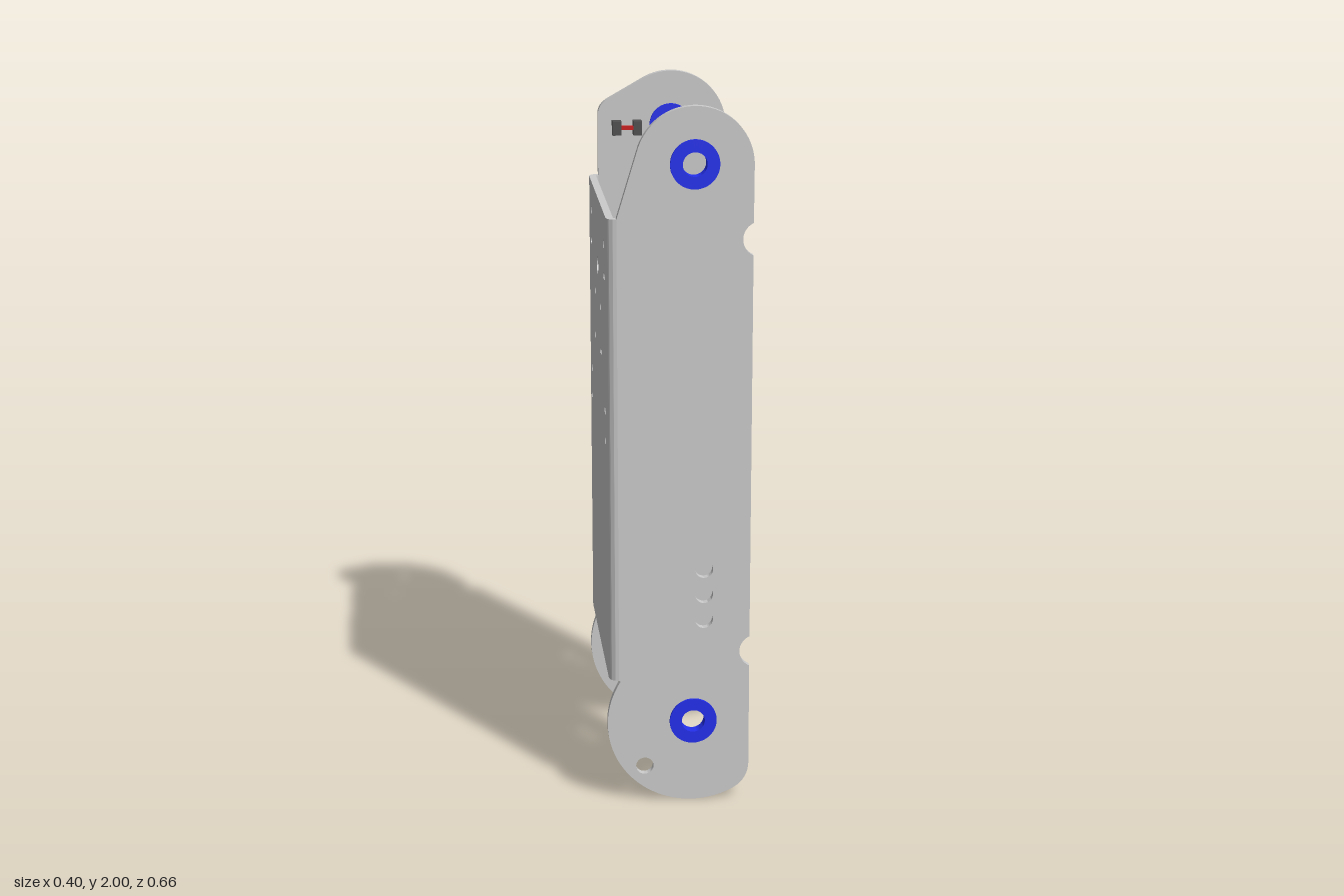
import * as THREE from 'three';
import { toCreasedNormals } from 'three/addons/utils/BufferGeometryUtils.js';

const T = 0.02;                       // sheet thickness
const FRONT = 0.312, BACK = -0.296;   // mid-planes of the side plates
const WEB_BOTTOM = 0.375, WEB_TOP = 1.7;
const BEND = 0.027;                   // outer bend radius
const BEND_X = -0.17, PIVOT_X = 0.04;
const rad = THREE.MathUtils.degToRad;

const material = (color) => new THREE.MeshStandardMaterial({ color });

function addMesh(parent, name, geometry, mat) {
  const mesh = new THREE.Mesh(geometry, mat);
  mesh.name = name;
  parent.add(mesh);
  return mesh;
}

function extrude(shape, depth) {
  const geo = new THREE.ExtrudeGeometry(shape, { depth, bevelEnabled: false, curveSegments: 32 });
  return toCreasedNormals(geo, 0.5);
}

function addHole(shape, x, y, r) {
  shape.holes.push(new THREE.Path().absarc(x, y, r, 0, Math.PI * 2, true));
}

// Side plate outline: round lower lobe, two edge notches, round top
function plateShape(isBack) {
  const s = new THREE.Shape();
  s.absarc(PIVOT_X, 0.243, 0.243, rad(148), rad(297), false);
  s.quadraticCurveTo(0.2, 0.052, 0.2, 0.11);
  for (const y of [0.45, 1.638]) s.absarc(0.22, y, 0.049, rad(245), rad(115), true);
  s.lineTo(0.2, 1.84);
  s.absarc(PIVOT_X, 1.84, 0.16, 0, rad(isBack ? 120 : 164), false);
  if (isBack) {
    s.lineTo(-0.14, 1.922);
    s.quadraticCurveTo(BEND_X, 1.905, BEND_X, 1.875);
  }
  s.lineTo(BEND_X, WEB_TOP);
  s.lineTo(BEND_X, WEB_BOTTOM);

  for (const y of [0.245, 1.845]) addHole(s, PIVOT_X, y, 0.05);
  for (const y of [0.55, 0.625, 0.7]) addHole(s, 0.07, y, 0.025);
  addHole(s, -0.098, 0.11, 0.025);
  if (isBack) {
    const slot = new THREE.Path();
    slot.absarc(-0.097, 1.595, 0.011, 0, Math.PI, false);
    slot.absarc(-0.097, 1.56, 0.011, Math.PI, Math.PI * 2, false);
    slot.closePath();
    s.holes.push(slot);
  }
  return s;
}

// Flat web joining the plates, drawn in z and y
function webGeometry() {
  const z0 = BACK - T / 2 + BEND, z1 = FRONT + T / 2 - BEND;
  const s = new THREE.Shape();
  s.moveTo(z0, WEB_BOTTOM);
  s.lineTo(z1, WEB_BOTTOM);
  s.lineTo(z1, WEB_TOP);
  s.lineTo(z0, WEB_TOP);
  s.closePath();
  const mid = 0.01;
  for (const side of [-1, 1]) {
    for (const y of [1.06, 1.145, 1.525, 1.615]) addHole(s, mid + side * 0.223, y, 0.012);
    for (const y of [1.28, 1.41]) addHole(s, mid + side * 0.096, y, 0.012);
  }
  addHole(s, mid, 1.505, 0.025);
  return extrude(s, T).rotateY(-Math.PI / 2).translate(BEND_X - BEND + T, 0, 0);
}

// Quarter-round bend between web and plate, side is +1 front or -1 back
function bendGeometry(side) {
  const zc = (side > 0 ? FRONT : BACK) + side * (T / 2 - BEND);
  const a0 = side > 0 ? Math.PI : Math.PI / 2;
  const a1 = a0 + Math.PI / 2;
  const s = new THREE.Shape();
  s.absarc(BEND_X, -zc, BEND, a0, a1, false);
  s.absarc(BEND_X, -zc, BEND - T, a1, a0, true);
  s.closePath();
  return extrude(s, WEB_TOP - WEB_BOTTOM).rotateX(-Math.PI / 2).translate(0, WEB_BOTTOM, 0);
}

// Flanged bushing, wide flange towards +z
function bushingGeometry() {
  const profile = [
    [0.033, -0.016], [0.061, -0.016], [0.061, -0.01], [0.05, -0.01], [0.05, 0.01],
    [0.067, 0.01], [0.067, 0.0165], [0.033, 0.0165], [0.033, -0.016],
  ].map(([r, y]) => new THREE.Vector2(r, y));
  return toCreasedNormals(new THREE.LatheGeometry(profile, 48).rotateX(Math.PI / 2), 0.5);
}

// Box from its lower and upper corners
function boxBetween(x0, y0, z0, x1, y1, z1) {
  return new THREE.BoxGeometry(x1 - x0, y1 - y0, z1 - z0)
    .translate((x0 + x1) / 2, (y0 + y1) / 2, (z0 + z1) / 2);
}

export function createModel() {
  const model = new THREE.Group();
  model.name = 'armLink';
  const metal = material(0xcccccc);
  const blue = material(0x2430ee);
  const dark = material(0x505050);
  const red = material(0xcc1a1a);

  // Bent sheet channel
  addMesh(model, 'web', webGeometry(), metal);
  for (const side of [1, -1]) {
    const label = side > 0 ? 'front' : 'back';
    const z = side > 0 ? FRONT : BACK;
    addMesh(model, label + 'Plate', extrude(plateShape(side < 0), T), metal).position.z = z - T / 2;
    addMesh(model, label + 'Bend', bendGeometry(side), metal);

    // Pivot bushings
    for (const [name, y] of [['Lower', 0.245], ['Upper', 1.845]]) {
      const bushing = addMesh(model, label + name + 'Bushing', bushingGeometry(), blue);
      bushing.position.set(PIVOT_X, y, z);
      if (side < 0) bushing.rotation.y = Math.PI;
    }
  }

  // Fork sensor clipped through the back plate
  const sensor = new THREE.Group();
  sensor.name = 'forkSensor';
  model.add(sensor);
  const plateOuter = BACK - T / 2;
  addMesh(sensor, 'sensorBody', boxBetween(-0.13, 1.79, -0.331, -0.045, 1.865, plateOuter), dark);
  for (const [x0, x1] of [[-0.13, -0.104], [-0.07, -0.045]]) {
    addMesh(sensor, 'sensorProng', boxBetween(x0, 1.82, plateOuter, x1, 1.86, -0.255), dark);
    addMesh(sensor, 'sensorFoot', boxBetween(x0, 1.77, -0.331, x1, 1.79, plateOuter), dark);
  }
  addMesh(sensor, 'sensorBeam', boxBetween(-0.104, 1.835, -0.273, -0.07, 1.846, -0.262), red);

  return model;
}
